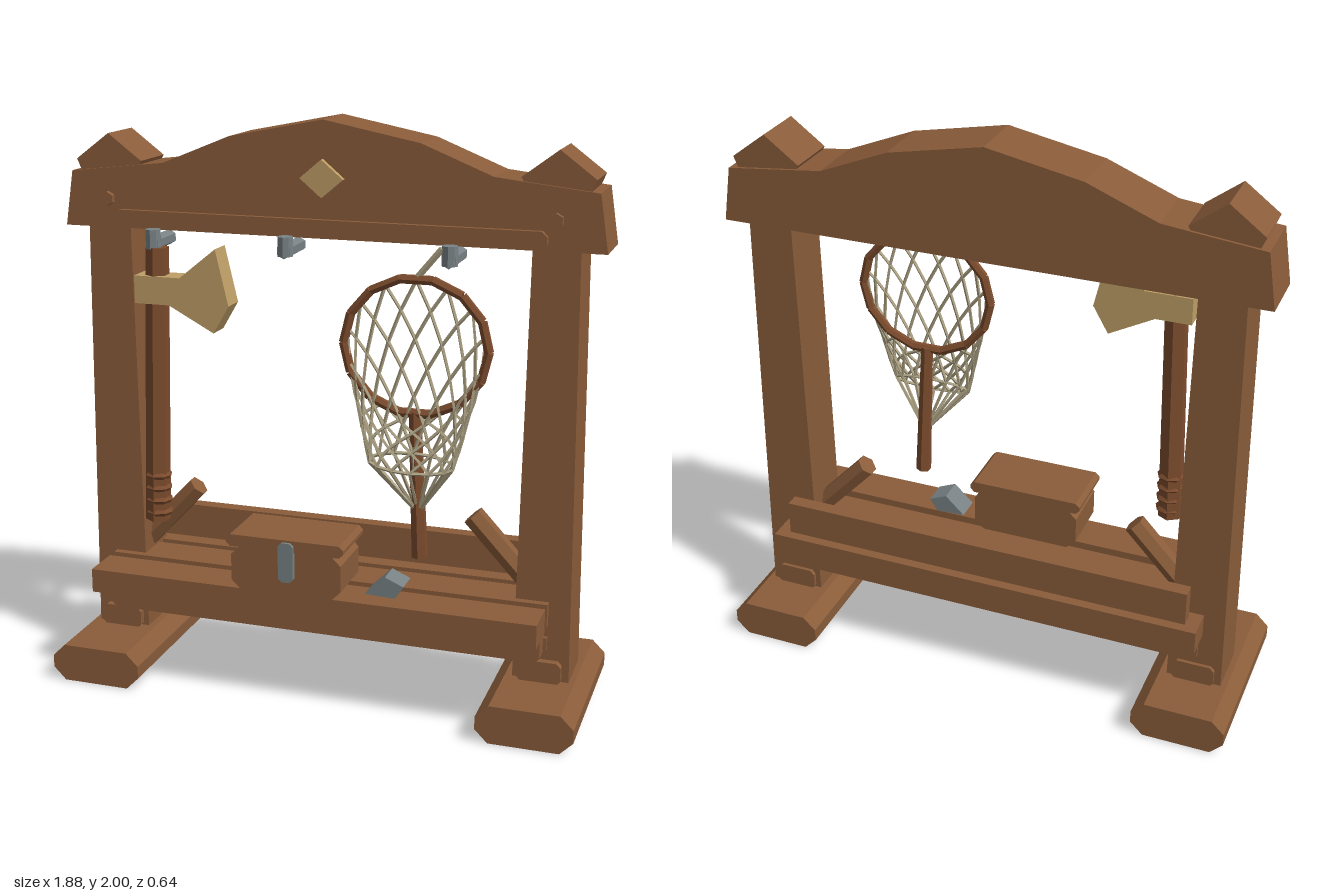
import * as THREE from 'three';
import { mergeGeometries } from 'three/addons/utils/BufferGeometryUtils.js';

const mat = (name, color) => {
  const m = new THREE.MeshStandardMaterial({ color });
  m.name = name;
  return m;
};

export function createModel() {
  const wood = mat('wood', 0x8a5c3a);
  const darkWood = mat('handle wood', 0x7d4c2e);
  const tan = mat('pale tan', 0xbf9f66);
  const steel = mat('steel', 0x788285);
  const rope = mat('rope', 0xada284);
  const root = new THREE.Group();

  // Faceted normals for low-poly shapes
  const flat = (g) => {
    const f = g.index ? g.toNonIndexed() : g;
    f.computeVertexNormals();
    return f;
  };
  const add = (name, geo, m, parent = root) => {
    const mesh = new THREE.Mesh(flat(geo), m);
    mesh.name = name;
    parent.add(mesh);
    return mesh;
  };
  // Outline in x, y pushed from z0 to z1
  const slab = (pts, z0, z1) => {
    const shape = new THREE.Shape(pts.map((p) => new THREE.Vector2(p[0], p[1])));
    return new THREE.ExtrudeGeometry(shape, { depth: z1 - z0, bevelEnabled: false }).translate(0, 0, z0);
  };
  // Rectangle with cut corners
  const chamfered = (x0, x1, y0, y1, c, z0, z1) => slab([
    [x0 + c, y0], [x1 - c, y0], [x1, y0 + c], [x1, y1 - c],
    [x1 - c, y1], [x0 + c, y1], [x0, y1 - c], [x0, y0 + c]], z0, z1);
  const box = (x0, x1, y0, y1, z0, z1) => new THREE.BoxGeometry(x1 - x0, y1 - y0, z1 - z0)
    .translate((x0 + x1) / 2, (y0 + y1) / 2, (z0 + z1) / 2);
  // Straight rod between two points
  const rod = (a, b, ra, rb, sides) => {
    const p = new THREE.Vector3(...a), q = new THREE.Vector3(...b);
    const d = q.clone().sub(p);
    const g = new THREE.CylinderGeometry(rb, ra, d.length(), sides);
    g.applyQuaternion(new THREE.Quaternion().setFromUnitVectors(new THREE.Vector3(0, 1, 0), d.normalize()));
    const c = p.add(q).multiplyScalar(0.5);
    return g.translate(c.x, c.y, c.z);
  };

  // Feet, posts, collars, caps, pegs and braces on both sides
  for (const s of [-1, 1]) {
    const side = new THREE.Group();
    side.name = s > 0 ? 'leftFrame' : 'rightFrame';
    root.add(side);
    const span = (a, b) => (s > 0 ? [a, b] : [-b, -a]);
    const mirror = (pts) => pts.map(([x, y]) => [s * x, y]);
    add('foot', chamfered(...span(0.61, 0.94), 0, 0.135, 0.045, -0.32, 0.32), wood, side);
    add('post', slab(mirror([[0.68, 0.13], [0.875, 0.13], [0.855, 1.64], [0.7, 1.64]]), -0.127, 0.064), wood, side);
    add('collar', chamfered(...span(0.7, 0.85), 0.13, 0.21, 0.015, -0.14, 0.09), wood, side);
    add('postCap', slab(mirror([[0.87, 1.78], [0.895, 1.84], [0.775, 1.93], [0.655, 1.84], [0.69, 1.78]]),
      -0.13, 0.06), wood, side);
    add('peg', new THREE.CylinderGeometry(0.025, 0.025, 0.03, 6).rotateX(Math.PI / 2)
      .translate(s * 0.775, 1.71, 0.075), wood, side);
    add('brace', rod([s * 0.71, 0.45, -0.03], [s * 0.508, 0.667, -0.03], 0.039, 0.039, 6), wood, side);
  }

  // Arched top beam with moulding and diamond inlay
  const half = [[0.94, 1.61], [0.91, 1.8], [0.7, 1.823], [0.57, 1.838], [0.33, 1.935]];
  add('topBeam', slab([...half, [0, 2], ...half.map(([x, y]) => [-x, y]).reverse()], -0.14, 0.07), wood);
  add('beamMoulding', chamfered(-0.75, 0.75, 1.615, 1.675, 0.018, 0.06, 0.09), wood);
  add('diamondInlay', slab([[0, 1.747], [0.075, 1.81], [0, 1.873], [-0.075, 1.81]], 0.06, 0.09), tan);

  // Lower rail, shelf planks and back board
  add('lowerRail', chamfered(-0.785, 0.785, 0.228, 0.32, 0.015, -0.14, 0.14), wood);
  add('railTenon', box(-0.797, 0.797, 0.25, 0.295, -0.08, 0.08), wood);
  for (const z of [0.2, 0.018, -0.162])
    add('shelfPlank', box(-0.797, 0.797, 0.335, 0.42, z - 0.073, z + 0.073), wood);
  add('backBoard', box(-0.75, 0.75, 0.415, 0.545, -0.2, -0.15), wood);

  // Chest with lid and latch
  add('chestBody', chamfered(-0.26, 0.132, 0.42, 0.582, 0.035, 0.08, 0.285), wood);
  add('chestLid', chamfered(-0.275, 0.145, 0.58, 0.622, 0.015, 0.07, 0.295), wood);
  add('chestLatch', chamfered(-0.083, -0.03, 0.475, 0.615, 0.012, 0.28, 0.306), steel);

  // Loose wedge on the shelf
  add('steelWedge', slab([[0.195, 0.43], [0.3, 0.425], [0.33, 0.47], [0.265, 0.498]], 0.12, 0.21), steel);

  // Hooks under the beam
  for (const x of [-0.565, -0.095, 0.458]) {
    const hook = new THREE.Group();
    hook.name = 'hook';
    root.add(hook);
    add('hookBar', rod([x, 1.583, 0.04], [x, 1.583, 0.19], 0.026, 0.026, 6), steel, hook);
    add('hookTip', rod([x, 1.565, 0.175], [x, 1.63, 0.175], 0.027, 0.027, 8), steel, hook);
  }

  // Hanging axe: handle, grip wraps and flared head
  const axe = new THREE.Group();
  axe.name = 'axe';
  root.add(axe);
  add('axeHandle', rod([-0.582, 0.6, 0.165], [-0.556, 1.57, 0.165], 0.044, 0.04, 6), darkWood, axe);
  for (let i = 0; i < 4; i++)
    add('gripWrap', new THREE.TorusGeometry(0.036, 0.012, 5, 8).rotateX(Math.PI / 2)
      .translate(-0.575, 0.63 + i * 0.045, 0.165), darkWood, axe);
  add('axeHead', slab([[-0.625, 1.38], [-0.5, 1.38], [-0.34, 1.295], [-0.285, 1.39],
    [-0.33, 1.58], [-0.46, 1.475], [-0.625, 1.475]], 0.12, 0.208), tan, axe);

  // Hanging net: hoop, handle, loop and woven bag
  const net = new THREE.Group();
  net.name = 'handNet';
  root.add(net);
  const HOOP = 14;
  const hoopAt = (i) => {
    const a = (i / HOOP) * Math.PI * 2 + Math.PI / HOOP;
    return [0.352 + 0.243 * Math.sin(a), 1.295 + 0.227 * Math.cos(a), 0.183];
  };
  const hoop = [];
  for (let i = 0; i < HOOP; i++) hoop.push(rod(hoopAt(i), hoopAt(i + 1), 0.016, 0.016, 6));
  add('hoop', mergeGeometries(hoop), darkWood, net);
  add('netHandle', rod([0.373, 0.57, 0.165], [0.353, 1.08, 0.18], 0.028, 0.021, 6), darkWood, net);
  add('hangingLoop', rod([0.352, 1.52, 0.183], [0.435, 1.62, 0.183], 0.011, 0.011, 5), rope, net);

  const N = 14, ROWS = 6;
  // Mesh rings shrink, flatten and sink toward the bag's end
  const knot = (row, j) => {
    const t = row / ROWS;
    const a = ((j + (row % 2) / 2) / N) * Math.PI * 2;
    return [
      0.352 + (0.237 - 0.092 * t) * Math.sin(a),
      1.295 - 0.385 * t + (0.22 - 0.19 * t) * Math.cos(a),
      0.183 + 0.032 * t - 0.018 * t * Math.cos(a),
    ];
  };
  const strands = [];
  const strand = (a, b) => strands.push(rod(a, b, 0.006, 0.006, 4));
  for (let j = 0; j < N; j++) {
    for (let r = 0; r < ROWS; r++) {
      strand(knot(r, j), knot(r + 1, j));
      strand(knot(r, j), knot(r + 1, r % 2 ? j + 1 : j - 1));
    }
    strand(knot(ROWS, j), knot(ROWS, j + 1));
    strand(knot(ROWS, j), [0.368, 0.73, 0.178]);
  }
  add('netBag', mergeGeometries(strands), rope, net);

  return root;
}
